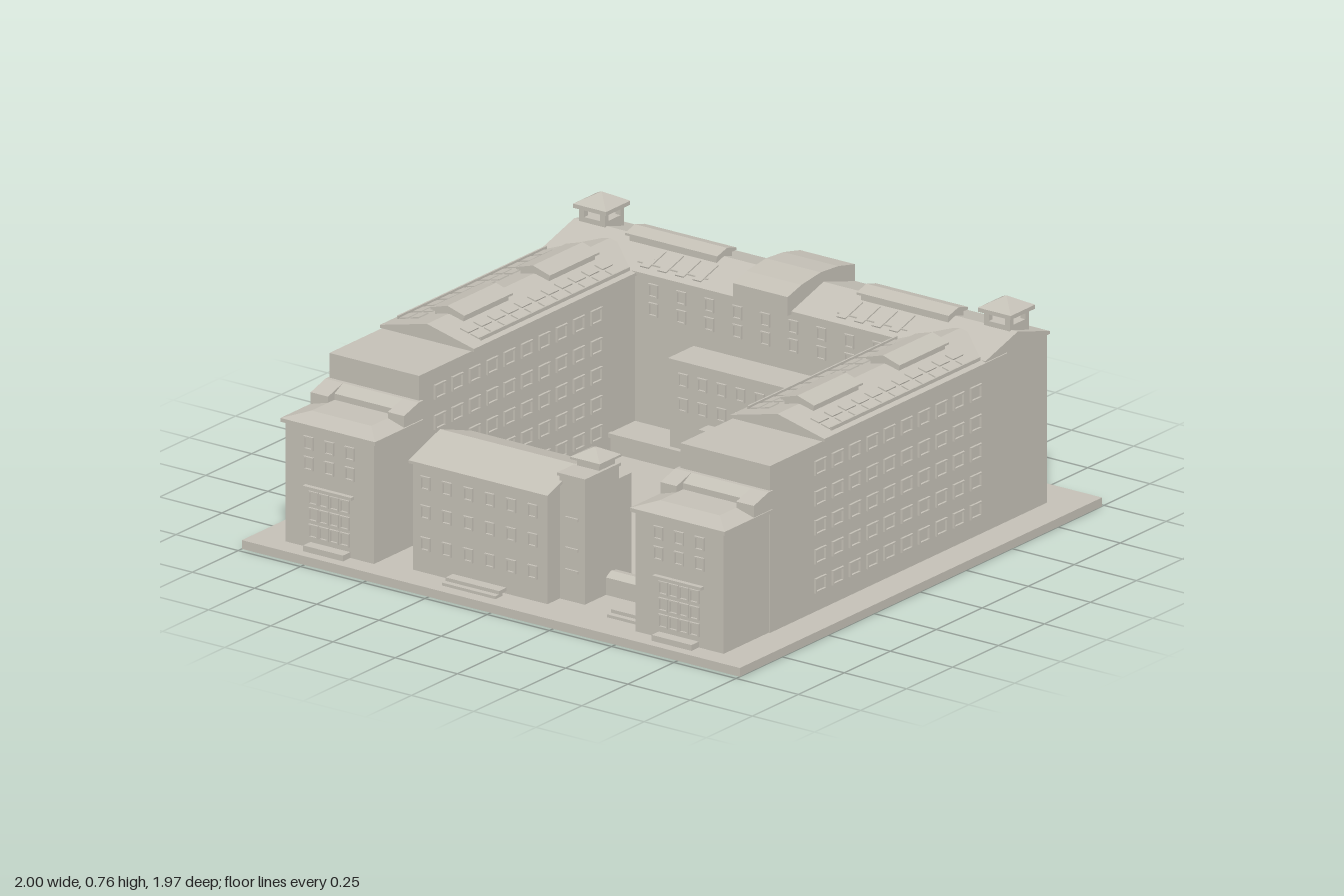
import * as THREE from 'three';

export function createModel() {
  const model = new THREE.Group();
  model.name = 'courtyardBuilding';
  const stone = new THREE.MeshStandardMaterial({ color: 0xc4c0b6 });
  stone.name = 'warm grey stone';

  const add = (name, geo, parent = model) => {
    const m = new THREE.Mesh(geo, stone);
    m.name = name;
    parent.add(m);
    return m;
  };
  // Box given by its limits on each axis
  const box = (name, xa, xb, y0, y1, z0, z1, parent) => {
    const g = new THREE.BoxGeometry(Math.abs(xb - xa), y1 - y0, z1 - z0);
    g.translate((xa + xb) / 2, (y0 + y1) / 2, (z0 + z1) / 2);
    return add(name, g, parent);
  };
  // Box whose top is shrunk to its own limits: hips and pyramids
  const hip = (name, [xa, xb, za, zb], [ta, tb, tc, td], y0, y1, parent) => {
    const g = new THREE.BoxGeometry(1, 1, 1), p = g.attributes.position;
    for (let i = 0; i < p.count; i++) {
      const top = p.getY(i) > 0, u = p.getX(i) + 0.5, v = p.getZ(i) + 0.5;
      p.setXYZ(i, top ? ta + (tb - ta) * u : xa + (xb - xa) * u, top ? y1 : y0,
        top ? tc + (td - tc) * v : za + (zb - za) * v);
    }
    g.computeVertexNormals();
    return add(name, g, parent);
  };
  const extrude = (pts, depth) => new THREE.ExtrudeGeometry(
    new THREE.Shape(pts.map(([a, b]) => new THREE.Vector2(a, b))), { depth, bevelEnabled: false });
  // Profile of (x, y) swept along z
  const prismZ = (name, pts, z0, z1, parent) =>
    add(name, extrude(pts, z1 - z0).translate(0, 0, z0), parent);
  // Profile of (z, y) swept along x
  const prismX = (name, pts, x0, x1, parent) =>
    add(name, extrude(pts, x1 - x0).rotateY(-Math.PI / 2).translate(x1, 0, 0), parent);

  // Window frame facing +z
  const frameShape = (w, h, t) => {
    const rect = (C, a, b) => new C([[-a, -b], [a, -b], [a, b], [-a, b]].map(q => new THREE.Vector2(...q)));
    const s = rect(THREE.Shape, w / 2, h / 2);
    s.holes.push(rect(THREE.Path, w / 2 - t, h / 2 - t));
    return new THREE.ExtrudeGeometry(s, { depth: 0.008, bevelEnabled: false });
  };
  const bigFrame = frameShape(0.06, 0.05, 0.006);
  const smallFrame = frameShape(0.038, 0.046, 0.005);
  // Grid of windows on a wall: us run along the wall, at is the wall's position
  const windows = (name, geo, us, ys, face, at) => {
    const group = new THREE.Group();
    group.name = name;
    for (const u of us) for (const y of ys) {
      const m = add('window', geo, group);
      const alongX = face === 'front' || face === 'back';
      m.position.set(alongX ? u : at, y, alongX ? at : u);
      m.rotation.y = { front: 0, back: Math.PI, right: Math.PI / 2, left: -Math.PI / 2 }[face];
    }
    model.add(group);
  };
  const series = (a, b, n) => Array.from({ length: n }, (_, i) => a + (b - a) * i / (n - 1));
  const floors = [0.12, 0.22, 0.32, 0.42, 0.525];

  // Ground slab
  box('base', -1, 1, 0, 0.03, -0.99, 0.98);

  // Back range with its gabled roof
  box('backRange', -0.885, 0.885, 0.03, 0.615, -0.845, -0.515);
  prismX('backRoof', [[-0.855, 0.61], [-0.505, 0.61], [-0.505, 0.62], [-0.68, 0.67], [-0.855, 0.62]], -0.89, 0.89);
  prismX('centreDormer', [[-0.85, 0.61], [-0.485, 0.61], [-0.485, 0.675], [-0.56, 0.695],
    [-0.665, 0.707], [-0.76, 0.7], [-0.85, 0.68]], -0.11, 0.11);
  windows('backCourtWindows', smallFrame, series(-0.45, 0.45, 9), [0.5, 0.565], 'front', -0.515);
  for (const y of [0.17, 0.28, 0.39, 0.5])
    for (const x of series(-0.82, 0.82, 18)) box('rearSill', x - 0.018, x + 0.018, y, y + 0.005, -0.849, -0.845);
  for (const x of [-0.53, 0.53]) box('downpipe', x - 0.004, x + 0.004, 0.03, 0.61, -0.85, -0.845);

  // Wings, towers and corner turrets, mirrored
  for (const s of [-1, 1]) {
    const X = (a, b) => [Math.min(s * a, s * b), Math.max(s * a, s * b)];
    const wing = new THREE.Group();
    wing.name = s > 0 ? 'leftWing' : 'rightWing';
    model.add(wing);
    box('wingBody', ...X(0.525, 0.885), 0.03, 0.605, -0.52, 0.66, wing);
    prismZ('wingRoof', [[s * 0.515, 0.605], [s * 0.893, 0.605], [s * 0.893, 0.615], [s * 0.704, 0.66], [s * 0.515, 0.615]],
      -0.62, 0.375, wing);

    // Ridge skylights
    for (const [z0, z1] of [[-0.47, -0.2], [0, 0.265]]) {
      box('skylightBody', ...X(0.645, 0.76), 0.63, 0.668, z0 + 0.01, z1 - 0.01, wing);
      prismZ('skylightRoof', [[s * 0.635, 0.663], [s * 0.77, 0.663], [s * 0.77, 0.67], [s * 0.703, 0.69], [s * 0.635, 0.67]],
        z0, z1, wing);
    }
    const [bx0, bx1] = X(0.28, 0.65);
    box('backSkylightBody', bx0 + 0.01, bx1 - 0.01, 0.63, 0.682, -0.725, -0.64, wing);
    prismX('backSkylightRoof', [[-0.735, 0.678], [-0.63, 0.678], [-0.63, 0.686], [-0.683, 0.7], [-0.735, 0.686]], bx0, bx1, wing);

    // Roof panes and eave rails
    const pane = new THREE.BoxGeometry(0.034, 0.007, 0.055);
    for (const side of [-1, 1]) {
      for (const d of [0.1, 0.142]) for (const z of series(-0.45, 0.28, 11)) {
        const m = add('roofPane', pane, wing);
        m.position.set(s * 0.704 + side * d, 0.661 - 0.238 * d, z);
        m.rotation.z = -side * 0.234;
      }
      const rx = s * 0.704 + side * 0.166;
      box('eaveRail', rx - 0.003, rx + 0.003, 0.615, 0.632, -0.5, 0.31, wing);
    }
    for (const d of [0.078, 0.122]) for (const x of series(0.29, 0.5, 4)) {
      const m = add('backRoofPane', pane, wing);
      m.position.set(s * x, 0.671 - 0.286 * d, -0.68 + d);
      m.rotation.set(0.278, 0, 0);
    }
    box('backEaveRail', ...X(0.26, 0.54), 0.615, 0.637, -0.555, -0.549, wing);

    // Lower front tower with hipped cap
    box('towerBody', ...X(0.525, 0.88), 0.03, 0.445, 0.655, 0.905, wing);
    box('towerCornice', ...X(0.512, 0.892), 0.443, 0.456, 0.655, 0.917, wing);
    hip('towerCap', [...X(0.512, 0.892), 0.655, 0.917], [...X(0.58, 0.82), 0.655, 0.845], 0.456, 0.476, wing);
    for (const [a, b, z] of [[0.515, 0.58, 0.755], [0.58, 0.82, 0.72], [0.82, 0.89, 0.755]])
      prismX('towerAttic', [[0.65, 0.455], [z, 0.455], [z, 0.497], [0.675, 0.52], [0.65, 0.52]], ...X(a, b), wing);

    // Tower entrance bay
    box('bayLintel', ...X(0.605, 0.8), 0.234, 0.245, 0.9, 0.922, wing);
    box('bayStep', ...X(0.62, 0.78), 0.03, 0.05, 0.9, 0.945, wing);
    windows('bayWindows', smallFrame, series(0.64, 0.765, 4).map(x => s * x), [0.09, 0.147, 0.204], 'front', 0.905);
    windows('towerWindows', smallFrame, series(0.62, 0.785, 3).map(x => s * x), [0.32, 0.39], 'front', 0.905);

    // Outer and courtyard wall windows
    windows('outerWindows', bigFrame, series(0.39, -0.455, 10), floors, s > 0 ? 'right' : 'left', s * 0.885);
    windows('courtWindows', bigFrame, series(0.55, -0.3, 10), floors, s > 0 ? 'left' : 'right', s * 0.525);

    // Open corner turret with pyramid roof
    const cx = s * 0.813, cz = -0.723;
    box('turretBase', cx - 0.052, cx + 0.052, 0.61, 0.685, cz - 0.052, cz + 0.052, wing);
    for (const i of [-1, 1]) for (const j of [-1, 1])
      box('turretPost', cx + i * 0.042 - 0.01, cx + i * 0.042 + 0.01, 0.685, 0.715, cz + j * 0.042 - 0.01, cz + j * 0.042 + 0.01, wing);
    box('turretEave', cx - 0.066, cx + 0.066, 0.714, 0.728, cz - 0.066, cz + 0.066, wing);
    hip('turretRoof', [cx - 0.066, cx + 0.066, cz - 0.066, cz + 0.066],
      [cx - 0.001, cx + 0.001, cz - 0.001, cz + 0.001], 0.728, 0.765, wing);
  }

  // Courtyard annex, terrace and porch
  box('annex', -0.285, 0.28, 0.03, 0.4, -0.52, -0.38);
  box('annexRoof', -0.29, 0.285, 0.4, 0.41, -0.52, -0.375);
  box('terrace', -0.53, 0.53, 0.03, 0.1, -0.52, -0.38);
  box('terraceEdge', -0.52, 0.52, 0.09, 0.105, -0.38, -0.36);
  box('porch', -0.12, 0.12, 0.03, 0.2, -0.38, -0.34);
  box('porchRoof', -0.132, 0.132, 0.2, 0.212, -0.38, -0.328);
  windows('annexWindows', smallFrame, series(-0.23, 0.23, 7), [0.26, 0.345], 'front', -0.38);

  // Gatehouse with gabled roof
  prismX('gatehouse', [[0.56, 0.03], [0.872, 0.03], [0.872, 0.405], [0.715, 0.458], [0.56, 0.405]], -0.392, 0.148);
  prismX('gatehouseRoof', [[0.545, 0.4], [0.715, 0.456], [0.887, 0.4], [0.887, 0.41], [0.715, 0.466], [0.545, 0.41]], -0.4, 0.158);
  windows('gateFrontWindows', smallFrame, series(-0.34, 0.09, 6), [0.13, 0.24, 0.34], 'front', 0.872);
  windows('gateRearWindows', smallFrame, series(-0.34, 0.09, 6), [0.13, 0.24, 0.34], 'back', 0.56);

  // Stair tower with lantern
  box('stairTower', 0.147, 0.248, 0.03, 0.46, 0.62, 0.805);
  box('stairTowerRear', 0.147, 0.248, 0.03, 0.41, 0.55, 0.62);
  box('stairTowerEave', 0.142, 0.254, 0.455, 0.465, 0.615, 0.812);
  box('lantern', 0.155, 0.243, 0.465, 0.49, 0.635, 0.72);
  box('lanternEave', 0.138, 0.258, 0.488, 0.496, 0.62, 0.737);
  hip('lanternRoof', [0.138, 0.258, 0.62, 0.737], [0.193, 0.203, 0.674, 0.684], 0.496, 0.525);
  for (const y of [0.13, 0.205, 0.31]) box('stairSlit', 0.173, 0.223, y, y + 0.01, 0.805, 0.812);

  // Low gate links and entrance steps
  const link = [[0.632, 0.03], [0.69, 0.03], [0.69, 0.09], [0.662, 0.106], [0.632, 0.1]];
  prismX('gateLinkRight', link, -0.53, -0.39);
  prismX('gateLinkLeft', link, 0.245, 0.53);
  for (const [x0, x1, z] of [[-0.23, -0.015, 0.895], [0.375, 0.52, 0.815]]) {
    box('entranceStep', x0, x1, 0.03, 0.04, z, z + 0.04);
    box('entranceStepUpper', x0, x1, 0.04, 0.052, z - 0.02, z + 0.02);
  }
  return model;
}
